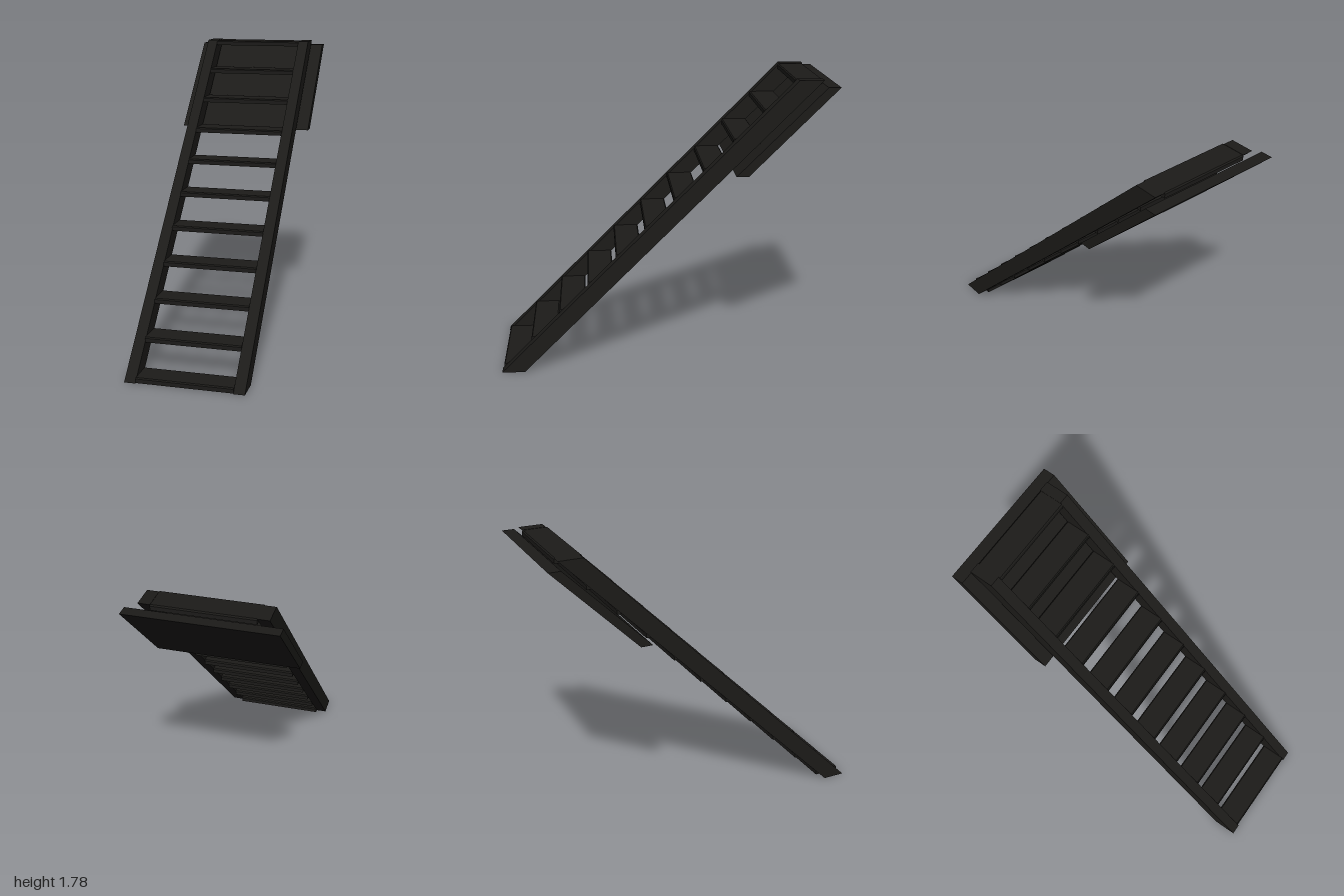
import * as THREE from 'three';

const material = new THREE.MeshStandardMaterial({ color: 0x1c1b19, flatShading: true });

// Extrude a side profile of [z, y] points across x, centred on x
function profileMesh(name, points, width, x = 0) {
  const shape = new THREE.Shape(points.map(([z, y]) => new THREE.Vector2(z, y)));
  const geometry = new THREE.ExtrudeGeometry(shape, { depth: width, bevelEnabled: false });
  geometry.translate(0, 0, -width / 2);
  geometry.rotateY(-Math.PI / 2);
  const mesh = new THREE.Mesh(geometry, material);
  mesh.name = name;
  mesh.position.x = x;
  return mesh;
}

export function createModel() {
  const group = new THREE.Group();
  group.name = 'staircase';

  // Sloping side beams, cut level at both ends
  const beam = [[1, 0], [0.86, 0], [-0.92, 1.785], [-0.775, 1.785]];
  for (const side of [-1, 1]) {
    group.add(profileMesh(side > 0 ? 'leftStringer' : 'rightStringer', beam, 0.066, side * 0.315));
  }

  // Evenly spaced treads with a softened nosing
  const treads = new THREE.Group();
  treads.name = 'treads';
  const tread = [
    [0.992, 0], [0.992, 0.024], [0.986, 0.031],
    [0.84, 0.031], [0.833, 0.024], [0.833, 0],
  ];
  for (let i = 0; i < 11; i++) {
    const step = profileMesh('tread', tread, 0.566);
    step.position.set(0, i * 0.1752, -i * 0.1752);
    treads.add(step);
  }
  group.add(treads);

  // Wide sloping panel behind the upper flight
  const panel = [[-0.412, 1.24], [-0.485, 1.24], [-1, 1.755], [-0.927, 1.755]];
  group.add(profileMesh('backPanel', panel, 0.84));

  return group;
}
